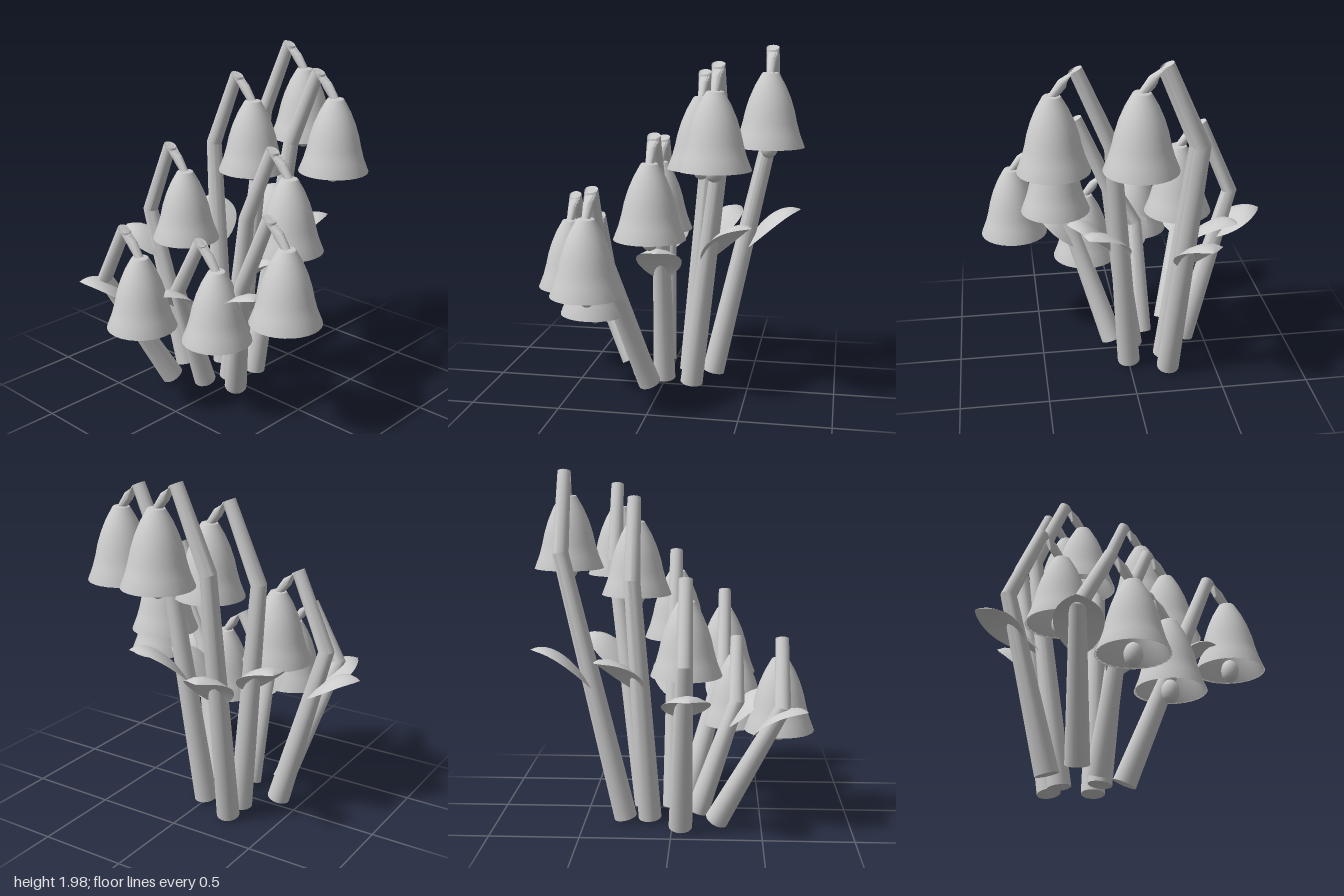
import * as THREE from 'three';
import { toCreasedNormals } from 'three/addons/utils/BufferGeometryUtils.js';

const V = (x, y, z) => new THREE.Vector3(x, y, z);

// bell: top of the bell, base: foot of the stem, leaf: [root, tip], knee: offset from bell top
const KNEE = [-0.31, -0.3, 0];
const LOW_KNEE = [-0.31, -0.21, 0];
const FLOWERS = [
  { bell: [0, 1.85, -0.6], base: [-0.22, 0.035, -0.27], leaf: [[-0.27, 0.8, -0.44], [-0.35, 1.03, -0.77]], knee: KNEE },
  { bell: [0.425, 1.77, -0.35], base: [0, 0.035, -0.17], leaf: [[0.05, 0.79, -0.25], [0.26, 1.02, -0.53]], knee: KNEE },
  { bell: [-0.06, 1.71, -0.21], base: [-0.22, 0.035, -0.13], leaf: [[-0.3, 0.8, -0.18], [-0.57, 1.0, -0.39]], knee: KNEE },
  { bell: [0.4, 1.385, 0], base: [-0.04, 0.04, 0], leaf: [[0.05, 0.68, 0], [0.34, 0.88, -0.02]], knee: KNEE },
  { bell: [-0.325, 1.3, 0.08], base: [-0.37, 0.04, 0.05], leaf: [[-0.53, 0.72, 0.07], [-0.83, 0.86, 0.11]], knee: KNEE },
  { bell: [0.635, 1.12, 0.29], base: [0.07, 0.04, 0.07], leaf: [[0.24, 0.62, 0.23], [0.49, 0.81, 0.38]], knee: KNEE },
  { bell: [-0.15, 0.955, 0.6], base: [-0.29, 0.05, 0.25], leaf: [[-0.37, 0.57, 0.45], [-0.53, 0.74, 0.73]], knee: LOW_KNEE },
  { bell: [0.2, 0.9, 0.36], base: [-0.12, 0.04, 0.14], leaf: [[-0.12, 0.55, 0.29], [-0.03, 0.74, 0.56]], knee: LOW_KNEE },
];

// Builds a skin of quads from equal-length rows of points
function skin(rows, capFirst) {
  const n = rows[0].length;
  const pos = [], idx = [];
  rows.forEach(row => row.forEach(p => pos.push(p.x, p.y, p.z)));
  for (let i = 0; i < rows.length - 1; i++) {
    for (let j = 0; j < n - 1; j++) {
      const a = i * n + j, b = a + n;
      idx.push(a, a + 1, b + 1, a, b + 1, b);
    }
  }
  if (capFirst) for (let j = 1; j < n - 2; j++) idx.push(0, j + 1, j);
  const g = new THREE.BufferGeometry();
  g.setAttribute('position', new THREE.Float32BufferAttribute(pos, 3));
  g.setIndex(idx);
  return g;
}

// Circle of points around c, facing along direction dir
function ring(c, dir, r, sides = 16) {
  const n = dir.clone().normalize();
  const v = V(0, 0, 1).addScaledVector(n, -n.z).normalize();
  const u = v.clone().cross(n);
  return Array.from({ length: sides + 1 }, (_, j) => {
    const t = (j % sides) / sides * Math.PI * 2;
    return c.clone().addScaledVector(u, r * Math.cos(t)).addScaledVector(v, r * Math.sin(t));
  });
}

// Stem: foot, knee, apex, then the short neck down to the bell
function stemGeometry(f) {
  const end = V(...f.bell);
  const base = V(...f.base);
  const knee = end.clone().add(V(...f.knee));
  const apex = end.clone().add(V(-0.123, 0.133, 0));
  const lower = knee.clone().sub(base).normalize();
  const upper = apex.clone().sub(knee).normalize();
  const neck = end.clone().sub(apex).normalize();
  const mid = lower.clone().add(upper);
  const rows = [
    ring(base, lower, 0.066),
    ring(knee, mid, 0.045),
    ring(apex, upper, 0.037),
    ring(apex.clone().lerp(end, 0.55), neck, 0.028),
    ring(end.clone().add(V(0, -0.01, 0)), neck, 0.022),
  ];
  return toCreasedNormals(skin(rows, true), 0.5);
}

// Leaf: arched midrib with a pointed oval outline and lowered edges
function leafGeometry([root, tip]) {
  const a = V(...root), c = V(...tip);
  const b = a.clone().lerp(c, 0.55);
  b.y = c.y + 0.07;
  const path = new THREE.QuadraticBezierCurve3(a, b, c);
  const side = V(c.x - a.x, 0, c.z - a.z).normalize().cross(V(0, 1, 0));
  const rows = [];
  for (let i = 0; i <= 14; i++) {
    const t = i / 14;
    const half = 0.02 * (1 - t) + 0.118 * Math.pow(Math.sin(Math.PI * Math.pow(t, 0.9)), 0.8);
    const p = path.getPoint(t);
    rows.push([-1, -0.5, 0, 0.5, 1].map(s =>
      p.clone().addScaledVector(side, s * half).add(V(0, -0.35 * half * s * s, 0))));
  }
  const g = skin(rows);
  g.computeVertexNormals();
  return g;
}

// Bell: inner wall down to the rim, then outer wall up to the crown
const BELL = [
  [0, -0.05], [0.05, -0.07], [0.1, -0.15], [0.125, -0.24], [0.14, -0.31], [0.185, -0.405],
  [0.197, -0.41], [0.168, -0.335], [0.15, -0.27], [0.137, -0.21], [0.115, -0.14],
  [0.085, -0.07], [0.05, -0.008], [0.044, 0], [0, 0],
].map(p => new THREE.Vector2(...p));

export function createModel() {
  const grey = new THREE.MeshStandardMaterial({ color: 0xcccccc, side: THREE.DoubleSide });
  grey.name = 'plain grey';
  const bellGeo = new THREE.LatheGeometry(BELL, 28);
  const clapperGeo = new THREE.SphereGeometry(0.05, 16, 12).scale(1, 1.3, 1);

  const model = new THREE.Group();
  model.name = 'bellFlowers';
  for (const f of FLOWERS) {
    const flower = new THREE.Group();
    flower.name = 'flower';
    const add = (name, geo) => {
      const m = new THREE.Mesh(geo, grey);
      m.name = name;
      flower.add(m);
      return m;
    };
    add('stem', stemGeometry(f));
    add('leaf', leafGeometry(f.leaf));
    add('bell', bellGeo).position.set(...f.bell);
    add('clapper', clapperGeo).position.set(f.bell[0], f.bell[1] - 0.41, f.bell[2]);
    model.add(flower);
  }
  return model;
}
